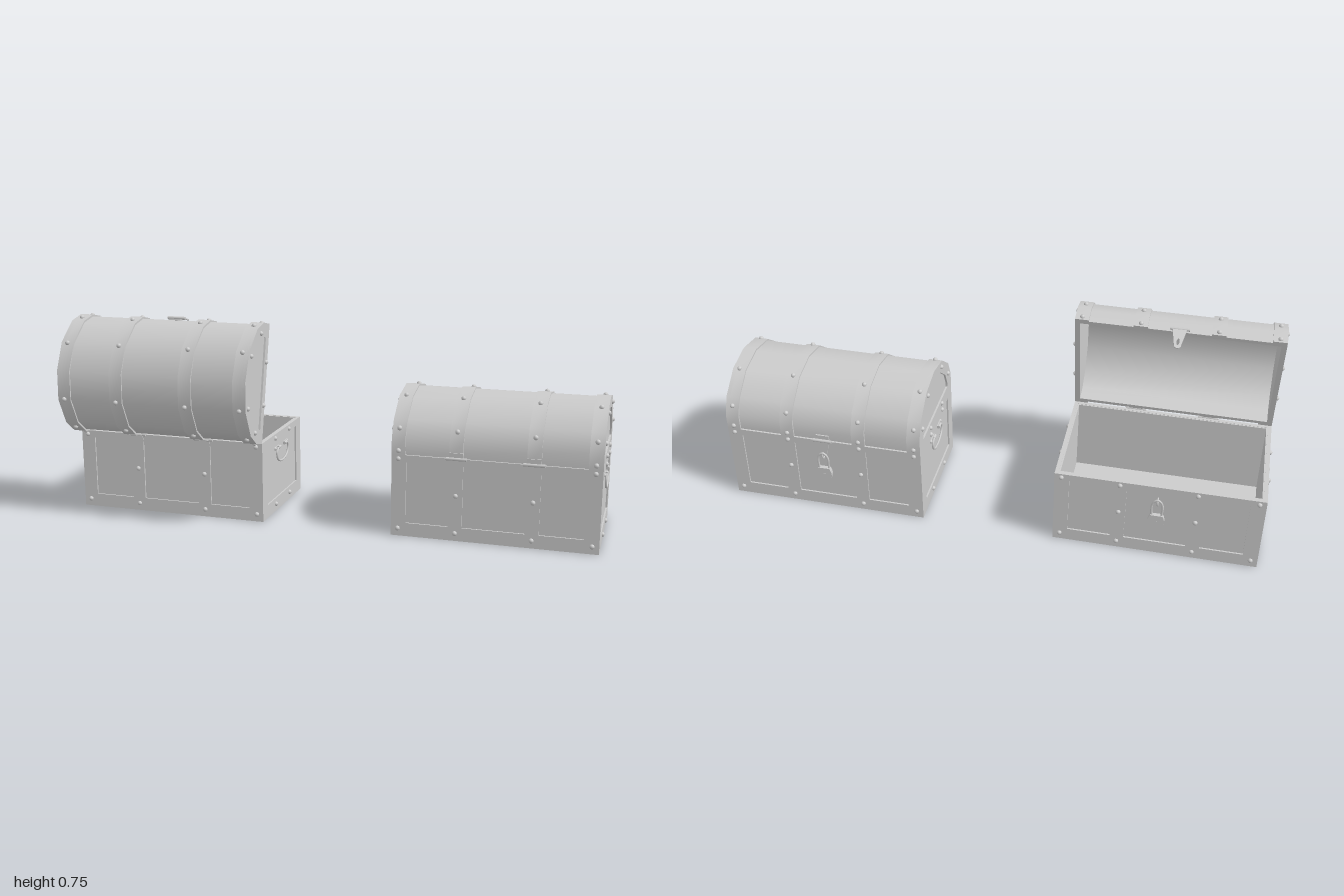
import * as THREE from 'three';
import { toCreasedNormals } from 'three/addons/utils/BufferGeometryUtils.js';

const mat = new THREE.MeshStandardMaterial({ color: 0xcccccc });
const HX = 0.372, HZ = 0.2225, H = 0.305;   // half length, half depth, body height
const BANDS = [-0.347, -0.137, 0.137, 0.347];
const BAND_W = 0.05;

function add(parent, name, geo, x = 0, y = 0, z = 0) {
  const m = new THREE.Mesh(geo, mat);
  m.name = name;
  m.position.set(x, y, z);
  parent.add(m);
  return m;
}
const box = (w, h, d) => new THREE.BoxGeometry(w, h, d);
const v2 = (x, y) => new THREE.Vector2(x, y);
const rodX = (r, len) => new THREE.CylinderGeometry(r, r, len, 12).rotateZ(Math.PI / 2);

// Extrudes a shape, centred on its thickness
function slab(shape, depth) {
  const g = new THREE.ExtrudeGeometry(shape, { depth, bevelEnabled: false, curveSegments: 10 });
  return g.translate(0, 0, -depth / 2);
}
// Same, with shape x running along world z and thickness along world x
const slabX = (shape, depth) => toCreasedNormals(slab(shape, depth).rotateY(-Math.PI / 2), 0.6);

// Faceted lid section, inset by d
function arch(d) {
  const sz = (HZ - d) / HZ, sy = (0.215 - d * 0.8) / 0.215;
  const half = [[HZ, 0], [HZ, 0.06], [0.1925, 0.125], [0.1075, 0.193]];
  const right = half.map(([z, y]) => v2(z * sz, y * sy));
  const left = half.map(([z, y]) => v2(-z * sz, y * sy)).reverse();
  return [...right, v2(0, 0.215 * sy), ...left];
}
const archBand = (d0, d1) => new THREE.Shape([...arch(d0), ...arch(d1).reverse()]);

function rect(x0, y0, x1, y1) {
  return [v2(x0, y0), v2(x1, y0), v2(x1, y1), v2(x0, y1)];
}
function frame(outline, holes) {
  const s = new THREE.Shape(outline);
  s.holes = holes.map((h) => new THREE.Path(h));
  return s;
}

const rivetGeo = new THREE.SphereGeometry(0.009, 12, 8);
const rivet = (parent, x, y, z) => add(parent, 'rivet', rivetGeo, x, y, z);

// Drop handle for one end; side is +1 or -1
function endHandle(parent, side) {
  const g = new THREE.Group();
  g.name = 'endHandle';
  g.position.set(side * (HX - 0.005), 0.245, 0);
  const pts = [[0.03, 0], [0.052, -0.002], [0.064, -0.018], [0.057, -0.04], [0.035, -0.054], [0, -0.059]];
  const all = [...pts, ...pts.slice(0, -1).reverse().map(([z, y]) => [-z, y])];
  const curve = new THREE.CatmullRomCurve3(all.map(([z, y]) => new THREE.Vector3(side * 0.007, y, z)));
  add(g, 'handleBar', new THREE.TubeGeometry(curve, 40, 0.004, 8));
  for (const s of [-1, 1]) {
    const c = new THREE.CylinderGeometry(0.006, 0.006, 0.022, 12).rotateX(Math.PI / 2);
    add(g, 'handleBracket', c, side * 0.006, 0, s * 0.036);
    add(g, 'handlePlate', box(0.006, 0.012, 0.04), 0, 0, s * 0.045);
    add(g, 'handleRivet', new THREE.SphereGeometry(0.007, 12, 8), 0, 0, s * 0.067);
  }
  parent.add(g);
}

function padlock(parent) {
  const g = new THREE.Group();
  g.name = 'padlock';
  g.position.set(0, 0, -HZ - 0.0135);
  // Body with a rounded bottom
  const s = new THREE.Shape();
  s.moveTo(0.022, 0.192);
  s.lineTo(-0.022, 0.192);
  s.bezierCurveTo(-0.037, 0.165, -0.03, 0.13, 0, 0.129);
  s.bezierCurveTo(0.03, 0.13, 0.037, 0.165, 0.022, 0.192);
  add(g, 'padlockBody', toCreasedNormals(slab(s, 0.015), 0.6));
  // Shackle
  const path = new THREE.CatmullRomCurve3([[-0.018, 0.188], [-0.019, 0.232], [-0.012, 0.25], [0, 0.257],
    [0.012, 0.25], [0.019, 0.232], [0.018, 0.188]].map(([x, y]) => new THREE.Vector3(x, y, 0)));
  add(g, 'shackle', new THREE.TubeGeometry(path, 28, 0.004, 8));
  add(g, 'keyhole', new THREE.CylinderGeometry(0.006, 0.006, 0.017, 12).rotateX(Math.PI / 2), 0, 0.163, 0);
  parent.add(g);
  // Staple the shackle hangs from
  add(parent, 'staple', new THREE.TorusGeometry(0.013, 0.003, 8, 16).rotateY(Math.PI / 2), 0, 0.245, -HZ - 0.005);
}

function makeBody() {
  const g = new THREE.Group();
  g.name = 'body';
  // Recessed wall panels and floor
  for (const s of [-1, 1]) {
    add(g, 'longWall', box(2 * HX - 0.014, H - 0.002, 0.013), 0, H / 2, s * (HZ - 0.0125));
    add(g, 'endWall', box(0.013, H - 0.002, 2 * HZ - 0.014), s * (HX - 0.0125), H / 2, 0);
  }
  add(g, 'floor', box(2 * HX - 0.01, 0.02, 2 * HZ - 0.01), 0, 0.01, 0);
  // Raised frames
  const longHoles = [[-0.318, -0.162], [-0.112, 0.112], [0.162, 0.318]].map(([a, b]) => rect(a, 0.05, b, 0.278));
  const longFrame = slab(frame(rect(-HX, 0, HX, H), longHoles), 0.014);
  const endFrame = slabX(frame(rect(-HZ, 0, HZ, H), [rect(-0.17, 0.05, 0.17, 0.278)]), 0.014);
  for (const s of [-1, 1]) {
    add(g, 'longFrame', longFrame, 0, 0, s * (HZ - 0.007));
    add(g, 'endFrame', endFrame, s * (HX - 0.007), 0, 0);
    endHandle(g, s);
    for (const y of [0.028, 0.29]) for (const z of [-0.08, 0.08]) rivet(g, s * HX, y, z);
    for (const x of BANDS) {
      const mid = Math.abs(x) < 0.2;
      rivet(g, x, 0.028, s * HZ);
      if (mid) rivet(g, x, 0.168, s * HZ);
      if (!mid || s < 0) rivet(g, x, 0.29, s * HZ);
    }
  }
  // Hinge barrels and lower leaves
  for (const x of [-0.137, 0.137]) {
    add(g, 'hingeBarrel', rodX(0.006, 0.076), x, H, HZ + 0.003);
    add(g, 'hingeLowerLeaf', box(0.05, 0.02, 0.006), x, H - 0.012, HZ + 0.001);
  }
  padlock(g);
  return g;
}

function makeLid() {
  const g = new THREE.Group();
  g.name = 'lid';
  // Barrel shell and iron bands
  add(g, 'barrel', slabX(archBand(0.007, 0.02), 2 * HX - 0.02));
  const band = slabX(archBand(0, 0.018), BAND_W);
  for (const x of BANDS) {
    add(g, 'band', band, x);
    const pts = [[HZ, 0.015], [0.2075, 0.095], [0.105, 0.194]];
    for (const s of [-1, 1]) pts.forEach(([z, y], i) => {
      if (i || s < 0 || Math.abs(x) > 0.2) rivet(g, x, y, s * z);
    });
  }
  // Ends: recessed panel inside a raised rim
  const panel = slabX(new THREE.Shape(arch(0.008)), 0.012);
  const hole = arch(0.0525);
  hole[0].y = hole[hole.length - 1].y = 0.03;
  const rim = slabX(frame(arch(0), [hole]), 0.014);
  for (const s of [-1, 1]) {
    add(g, 'endPanel', panel, s * (HX - 0.013));
    add(g, 'endRim', rim, s * (HX - 0.007));
    for (const [z, y] of [[0.08, 0.015], [0.181, 0.086], [0.094, 0.173]])
      for (const t of [-1, 1]) rivet(g, s * HX, y, t * z);
  }
  for (const x of [-0.137, 0.137]) add(g, 'hingeUpperLeaf', box(0.05, 0.02, 0.006), x, 0.012, HZ + 0.001);
  // Tapered hasp hanging from the lock side
  const s = new THREE.Shape();
  s.moveTo(-0.026, 0.004);
  s.lineTo(-0.012, -0.078);
  s.absarc(0, -0.08, 0.012, Math.PI, 2 * Math.PI, false);
  s.lineTo(0.026, 0.004);
  const slot = new THREE.Path();
  slot.absellipse(0, -0.062, 0.0055, 0.016, 0, 2 * Math.PI, true);
  s.holes.push(slot);
  add(g, 'hasp', slab(s, 0.004), 0, 0, -HZ - 0.006);
  add(g, 'haspBarrel', rodX(0.006, 0.07), 0, 0.004, -HZ - 0.005);
  add(g, 'haspPlate', box(0.05, 0.02, 0.005), 0, 0.014, -HZ + 0.002);
  return g;
}

function makeChest(name, x, openAngle) {
  const chest = new THREE.Group();
  chest.name = name;
  chest.position.set(x, 0, -0.0725);
  chest.add(makeBody());
  // Lid turns about the hinge line
  const pivot = new THREE.Group();
  pivot.name = 'lidPivot';
  pivot.position.set(0, H, HZ);
  pivot.rotation.x = openAngle;
  const lid = makeLid();
  lid.position.z = -HZ;
  pivot.add(lid);
  chest.add(pivot);
  return chest;
}

export function createModel() {
  const model = new THREE.Group();
  model.name = 'treasureChests';
  model.add(makeChest('closedChest', 0.619, 0));
  model.add(makeChest('openChest', -0.619, THREE.MathUtils.degToRad(77)));
  return model;
}
